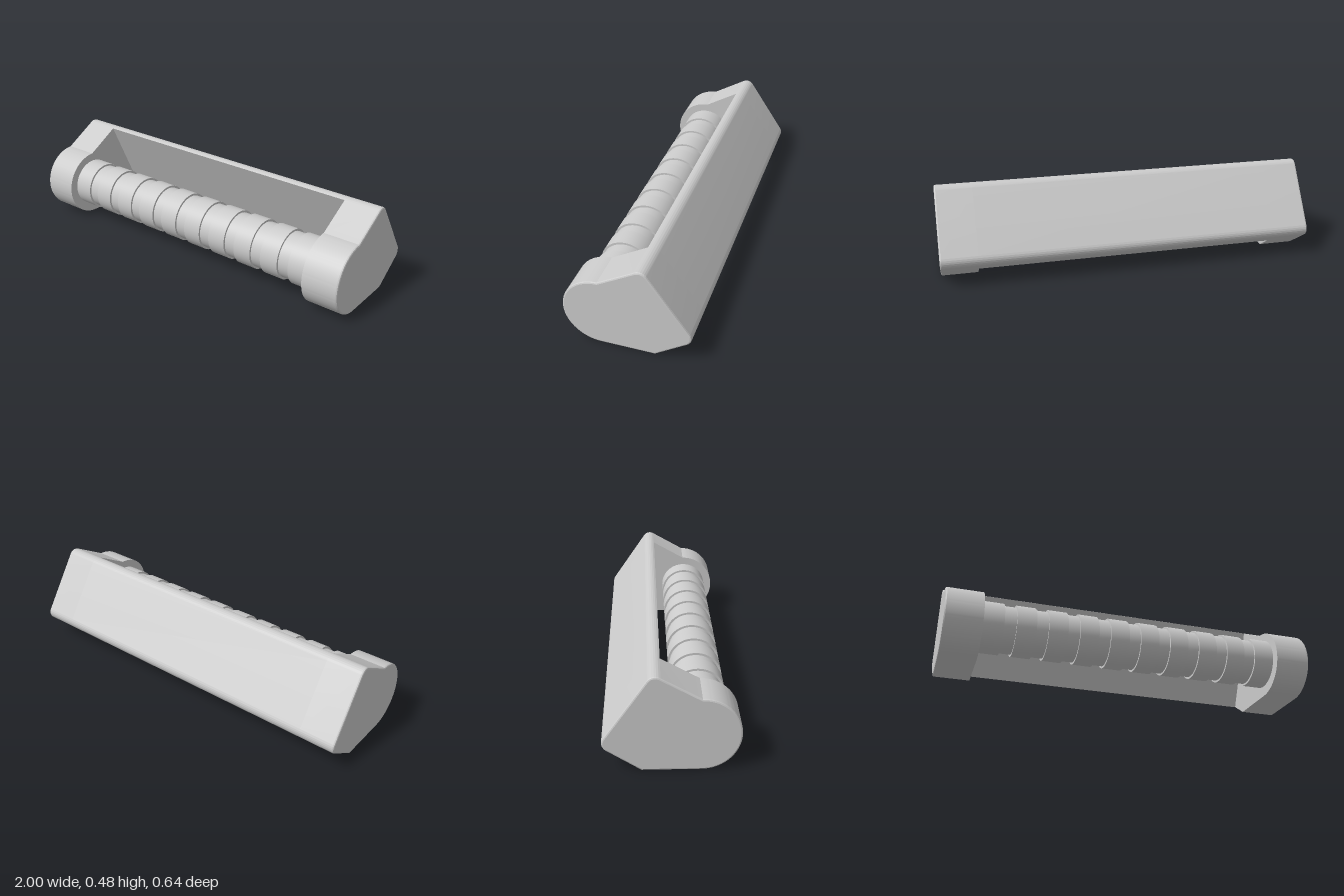
import * as THREE from 'three';
import { toCreasedNormals } from 'three/addons/utils/BufferGeometryUtils.js';

const HALF = 1;        // half length of the body
const INNER = 0.805;   // inner face of the end caps
const TILT = 0.597;    // lean of the back plate

// Rounded upper and lower edges of the back plate, in (z, y)
function addBackEdges(shape) {
  const r = 0.045;
  shape.absarc(-0.075, 0.438, r, Math.PI / 2 - TILT, Math.PI - TILT, false);
  shape.absarc(-0.275, 0.145, r, Math.PI - TILT, Math.PI * 1.5 - TILT, false);
}

// End cap outline: round nose joined to the leaning plate
function capShape() {
  const s = new THREE.Shape();
  s.moveTo(0.105, 0.37);
  addBackEdges(s);
  s.lineTo(-0.14, 0);
  s.absarc(0.135, 0.185, 0.185, -Math.PI / 2, Math.PI / 2, false);
  s.closePath();
  return s;
}

// Back plate outline
function plateShape() {
  const s = new THREE.Shape();
  s.moveTo(0.008, 0.436);
  addBackEdges(s);
  s.lineTo(-0.237, 0.064);
  s.closePath();
  return s;
}

// Extrudes a (z, y) outline along x from x0 to x1, with an optional edge bevel
function extrudeX(shape, x0, x1, bevel = 0) {
  const geo = new THREE.ExtrudeGeometry(shape, {
    depth: x1 - x0 - 2 * bevel, curveSegments: 32,
    bevelEnabled: bevel > 0, bevelThickness: bevel, bevelSize: bevel,
    bevelOffset: -bevel, bevelSegments: 2,
  });
  geo.rotateY(-Math.PI / 2);
  geo.translate(x1 - bevel, 0, 0);
  return toCreasedNormals(geo, 0.35);
}

// Grooved grip bar profile, turned about the x axis
function gripGeometry() {
  const R = 0.135, r = 0.124, w = 0.032, pitch = 0.1658;
  const pts = [new THREE.Vector2(R, -INNER - 0.01)];
  for (let i = -4; i <= 4; i++) {
    const c = i * pitch;
    pts.push(new THREE.Vector2(R, c - w), new THREE.Vector2(r, c - w),
      new THREE.Vector2(r, c + w), new THREE.Vector2(R, c + w));
  }
  pts.push(new THREE.Vector2(R, INNER + 0.01));
  const geo = new THREE.LatheGeometry(pts, 64);
  geo.rotateZ(Math.PI / 2);
  return toCreasedNormals(geo, 0.5);
}

export function createModel() {
  const model = new THREE.Group();
  const material = new THREE.MeshStandardMaterial({ color: 0xcccccc });
  const add = (name, geo, parent = model) => {
    const mesh = new THREE.Mesh(geo, material);
    mesh.name = name;
    parent.add(mesh);
    return mesh;
  };

  add('backPlate', extrudeX(plateShape(), -INNER, INNER));
  add('gripBar', gripGeometry()).position.set(0, 0.19, 0.138);

  // End caps: straight block plus a softened outer rim
  for (const [name, side] of [['leftCap', 1], ['rightCap', -1]]) {
    const cap = new THREE.Group();
    cap.name = name;
    const span = (a, b) => (side > 0 ? [a, b] : [-b, -a]);
    add('capBlock', extrudeX(capShape(), ...span(INNER, HALF - 0.008)), cap);
    add('capRim', extrudeX(capShape(), ...span(HALF - 0.03, HALF), 0.008), cap);
    model.add(cap);
  }
  return model;
}
